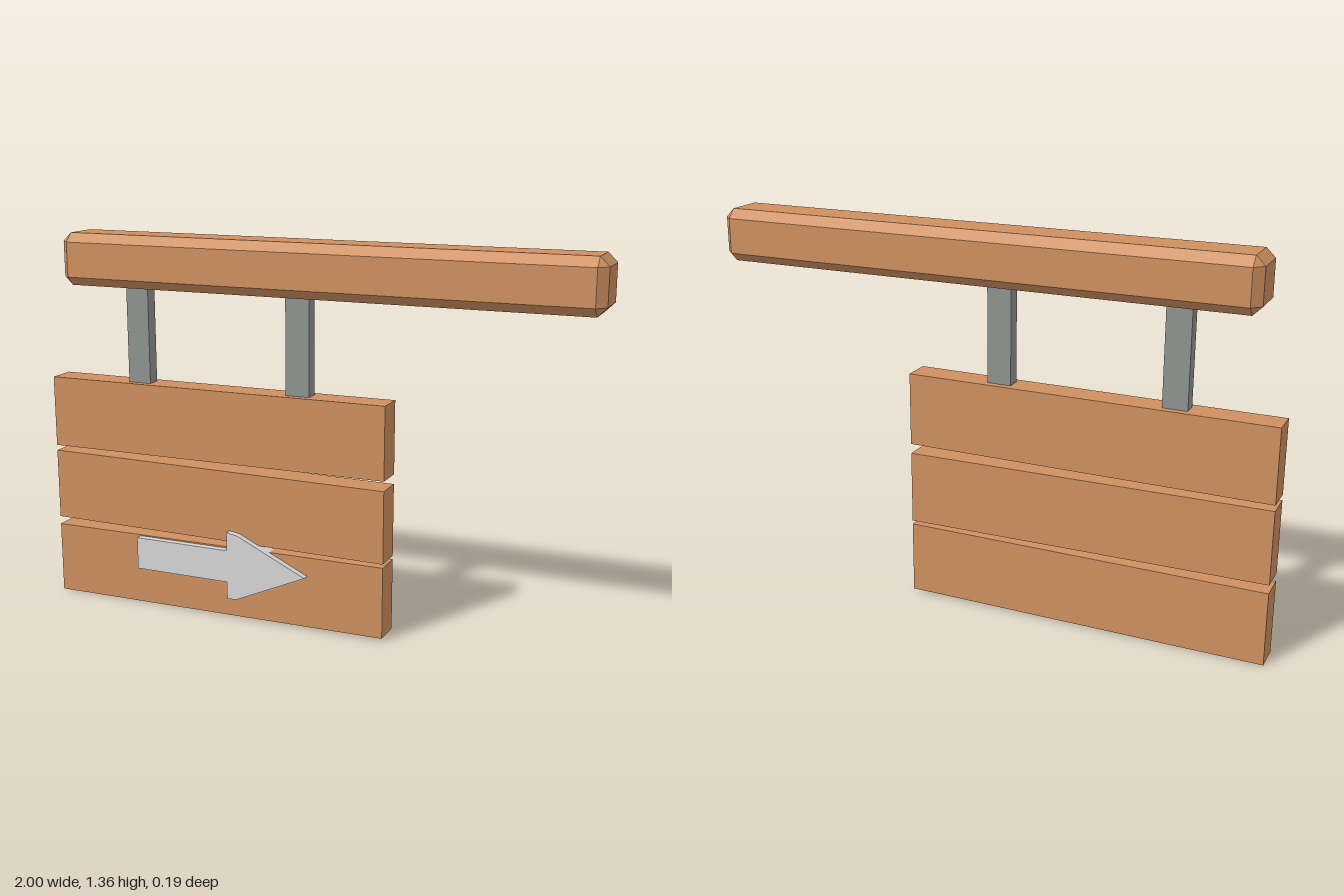
import * as THREE from 'three';
import { ConvexGeometry } from 'three/addons/geometries/ConvexGeometry.js';

const material = (name, color) => {
  const m = new THREE.MeshStandardMaterial({ color });
  m.name = name;
  return m;
};

// Flat outline in x, y pushed out from z0 to z1
function slab(points, z0, z1) {
  const shape = new THREE.Shape(points.map(([x, y]) => new THREE.Vector2(x, y)));
  const geometry = new THREE.ExtrudeGeometry(shape, { depth: z1 - z0, bevelEnabled: false });
  return geometry.translate(0, 0, z0);
}

// Box with every edge and corner cut off by c
function chamferedBox(w, h, d, c) {
  const points = [];
  for (const sx of [-1, 1]) for (const sy of [-1, 1]) for (const sz of [-1, 1]) {
    for (let axis = 0; axis < 3; axis++) {
      const p = [w / 2, h / 2, d / 2].map((v, i) => (i === axis ? v : v - c));
      points.push(new THREE.Vector3(p[0] * sx, p[1] * sy, p[2] * sz));
    }
  }
  return new ConvexGeometry(points);
}

export function createModel() {
  const model = new THREE.Group();
  model.name = 'hangingSign';
  const wood = material('wood', 0xce9060);
  const metal = material('metal', 0x8f948f);
  const paleGrey = material('paleGrey', 0xd6d6d6);

  const add = (name, geometry, mat) => {
    const mesh = new THREE.Mesh(geometry, mat);
    mesh.name = name;
    model.add(mesh);
    return mesh;
  };

  // Chamfered beam on top
  add('beam', chamferedBox(1.92, 0.185, 0.19, 0.031), wood).position.set(0.04, 1.2625, 0);

  // Two hangers between beam and boards
  for (const [name, x] of [['rightHanger', -0.652], ['leftHanger', -0.037]]) {
    add(name, new THREE.BoxGeometry(0.086, 0.38, 0.048), metal).position.set(x, 1.0, 0);
  }

  // Slightly crooked boards: bottom and top heights at the right, then left end
  const boards = [
    ['lowerBoard', 0, 0.26, 0.01, 0.267],
    ['middleBoard', 0.29, 0.547, 0.28, 0.538],
    ['upperBoard', 0.567, 0.825, 0.573, 0.831],
  ];
  for (const [name, b0, t0, b1, t1] of boards) {
    add(name, slab([[-1, b0], [0.29, b1], [0.29, t1], [-1, t0]], -0.05, 0.05), wood);
  }

  // Arrow set into the lower board
  add('arrow', slab([
    [-0.655, 0.14], [-0.29, 0.14], [-0.29, 0.075], [-0.25, 0.08], [0.01, 0.197],
    [-0.25, 0.319], [-0.29, 0.325], [-0.29, 0.258], [-0.655, 0.258],
  ], 0.01, 0.075), paleGrey);

  return model;
}
